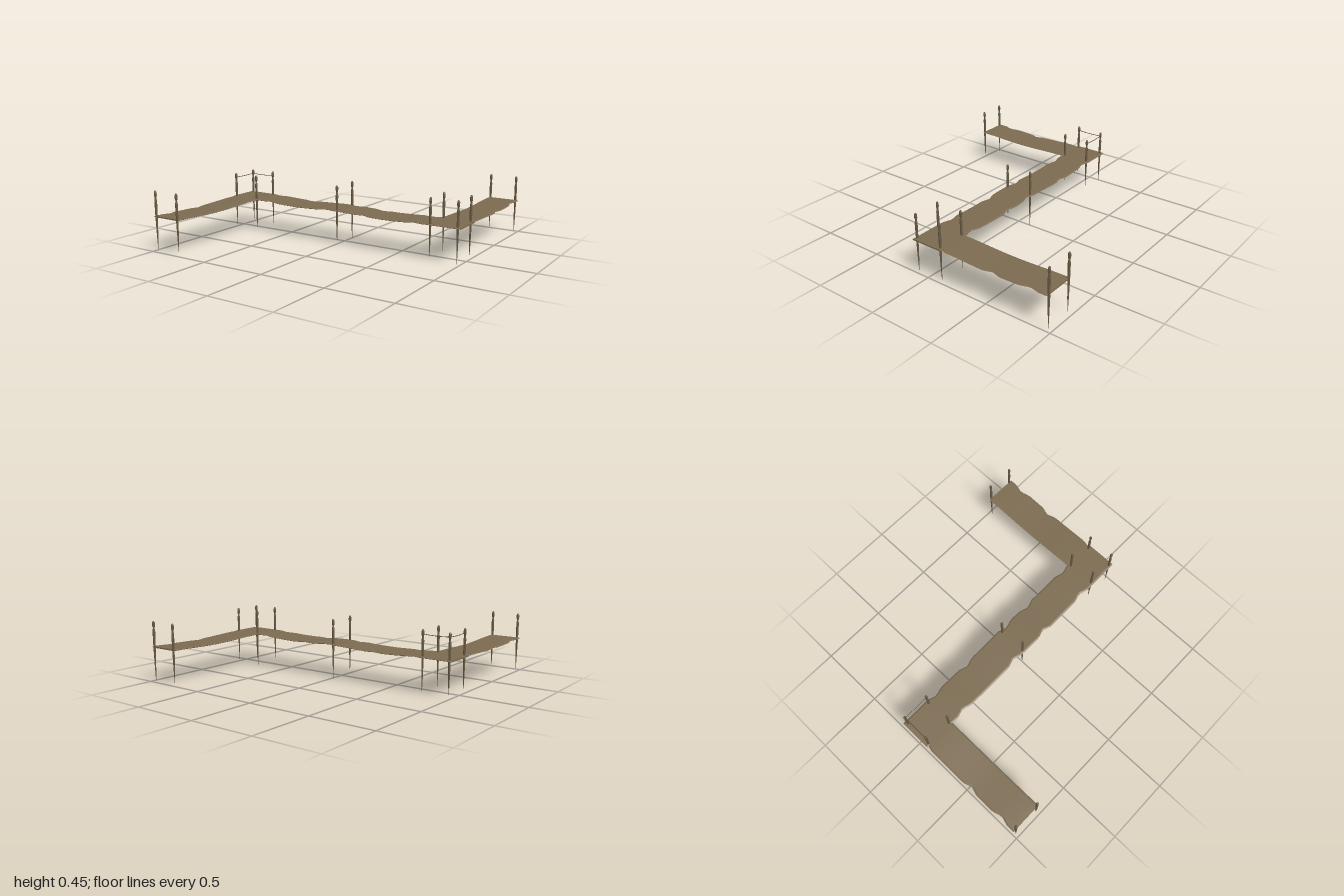
import * as THREE from 'three';

const timber = new THREE.MeshStandardMaterial({ color: 0x7b6a50, flatShading: true });
timber.name = 'weathered planking';
const postWood = new THREE.MeshStandardMaterial({ color: 0x685a43, flatShading: true });
postWood.name = 'post wood';
const ropeFibre = new THREE.MeshStandardMaterial({ color: 0x5c4f3b });
ropeFibre.name = 'rope fibre';

// Small notches bitten out of a plank edge, centred on the given positions
const notch = (t, centres) =>
  centres.reduce((sum, c) => sum + 0.022 * Math.max(0, 1 - Math.abs(t - c) / 0.065), 0);

// Sagging walkway strip with bevelled, ragged edges; runs along x or z
function walkway({ name, axis, from, to, low, high, lowNotches, highNotches, sag }) {
  const steps = Math.round((to - from) / 0.03);
  const sections = [];
  for (let i = 0; i <= steps; i++) {
    const t = from + (to - from) * i / steps;
    const a = low + notch(t, lowNotches);
    const b = high - notch(t, highNotches);
    const y = 0.254 - sag(t);
    const inset = 0.012, half = 0.005;
    const loop = [
      [a + inset, y + half], [b - inset, y + half], [b, y],
      [b - inset, y - half], [a + inset, y - half], [a, y],
    ];
    sections.push(loop.map(([u, h]) => (axis === 'x' ? [t, h, u] : [u, h, t])));
  }
  const positions = [];
  const tri = (p, q, r) => positions.push(...(axis === 'x' ? [p, q, r] : [p, r, q]).flat());
  for (let i = 0; i < steps; i++) {
    const s = sections[i], e = sections[i + 1];
    for (let j = 0; j < 6; j++) {
      const k = (j + 1) % 6;
      tri(s[j], s[k], e[k]);
      tri(s[j], e[k], e[j]);
    }
  }
  // End caps
  const first = sections[0], last = sections[steps];
  for (let j = 1; j < 5; j++) {
    tri(first[0], first[j + 1], first[j]);
    tri(last[0], last[j], last[j + 1]);
  }
  const geometry = new THREE.BufferGeometry();
  geometry.setAttribute('position', new THREE.Float32BufferAttribute(positions, 3));
  geometry.computeVertexNormals();
  const mesh = new THREE.Mesh(geometry, timber);
  mesh.name = name;
  return mesh;
}

// Sharpened mooring post with a necked head
function post(x, z, index) {
  const tip = [0, 0.016, 0.008, 0.024][index % 4];
  const profile = [
    [0.001, tip], [0.005, 0.11], [0.0085, 0.24], [0.01, 0.37], [0.006, 0.395],
    [0.0105, 0.412], [0.01, 0.434], [0.005, 0.446], [0, 0.447],
  ].map(([r, y]) => new THREE.Vector2(r, y));
  const mesh = new THREE.Mesh(new THREE.LatheGeometry(profile, 7), postWood);
  mesh.position.set(x, 0, z);
  mesh.rotation.y = index * 1.3;
  mesh.name = 'post';
  return mesh;
}

// Slightly slack rope between two post necks
function rope(x1, z1, x2, z2) {
  const curve = new THREE.QuadraticBezierCurve3(
    new THREE.Vector3(x1, 0.415, z1),
    new THREE.Vector3((x1 + x2) / 2, 0.406, (z1 + z2) / 2),
    new THREE.Vector3(x2, 0.415, z2));
  const mesh = new THREE.Mesh(new THREE.TubeGeometry(curve, 8, 0.0025, 5), ropeFibre);
  mesh.name = 'rope';
  return mesh;
}

export function createModel() {
  const group = new THREE.Group();
  group.name = 'zigzag pier';

  // Centre run and the two arms
  const dip = (d, length) =>
    d > 0 && d < length ? 0.011 * Math.sin(Math.PI * d / length) ** 2 : 0;
  const armSag = z => dip(Math.abs(z) - 0.12, 0.85);
  group.add(
    walkway({
      name: 'centreWalkway', axis: 'x', from: -1, to: 1, low: -0.13, high: 0.125,
      lowNotches: [-0.69, -0.37, 0.05, 0.28, 0.68],
      highNotches: [-0.63, -0.1, 0.22, 0.63],
      sag: x => dip(Math.abs(x), 0.77),
    }),
    walkway({
      name: 'frontArm', axis: 'z', from: 0.1, to: 0.97, low: -1, high: -0.75,
      lowNotches: [0.1, 0.55, 0.84], highNotches: [], sag: armSag,
    }),
    walkway({
      name: 'backArm', axis: 'z', from: -0.97, to: -0.1, low: 0.75, high: 1,
      lowNotches: [], highNotches: [-0.84, -0.55, -0.1], sag: armSag,
    }),
  );

  // Posts at both corners, the middle and the arm ends
  const spots = [[0, -0.105], [0, 0.105]];
  for (const side of [-1, 1]) {
    for (const x of [0.975, 0.768]) {
      for (const z of [0.105, -0.105, -0.97]) spots.push([side * x, side * z]);
    }
  }
  spots.forEach(([x, z], i) => group.add(post(x, z, i)));

  // Ropes around the outer corner
  group.add(rope(-0.975, -0.105, -0.768, -0.105), rope(-0.975, -0.105, -0.975, 0.105));
  return group;
}
